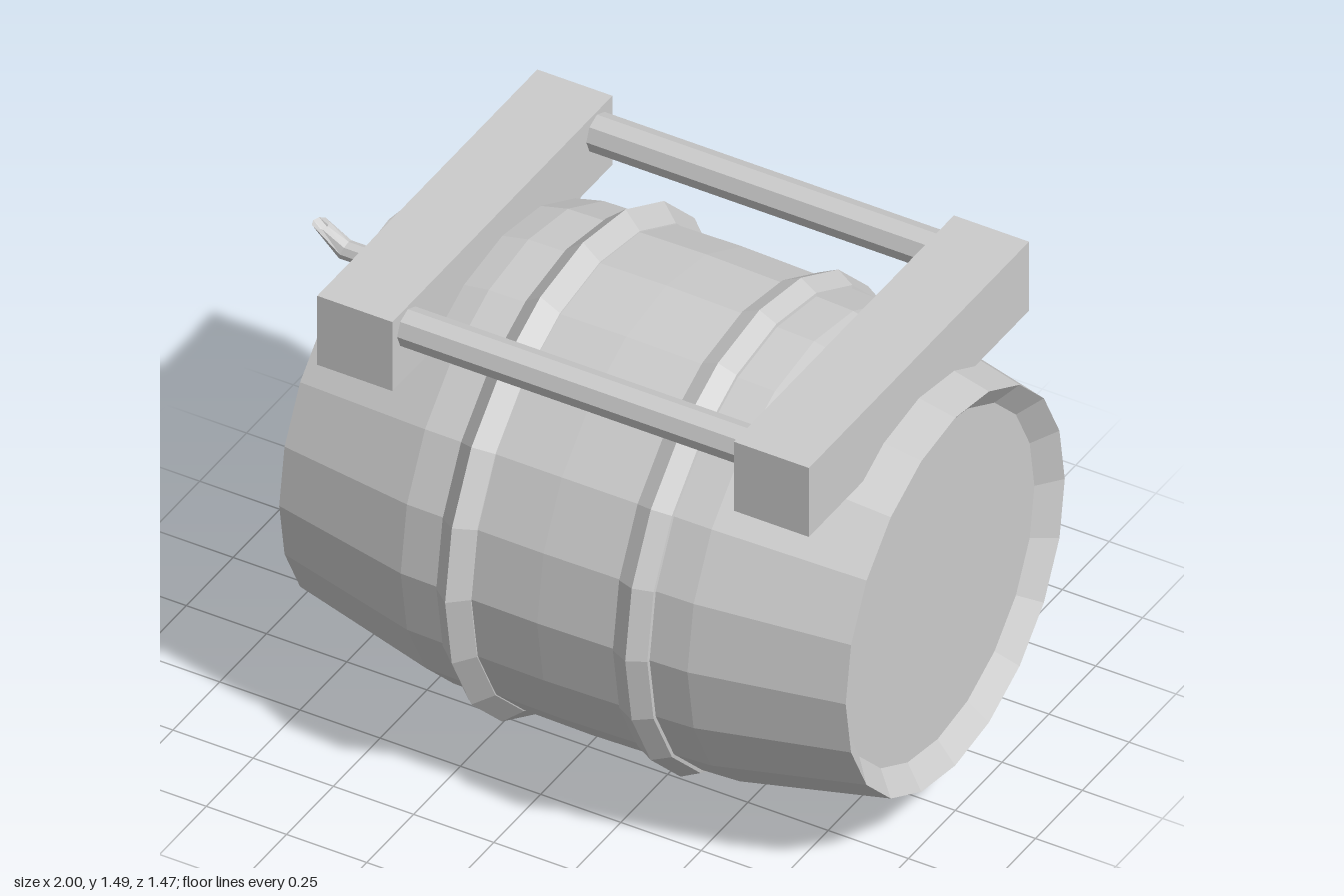
import * as THREE from 'three';

const material = new THREE.MeshStandardMaterial({ color: 0xcccccc, flatShading: true });
const openMaterial = new THREE.MeshStandardMaterial({ color: 0xcccccc, flatShading: true, side: THREE.DoubleSide });
const AXIS_Y = 0.738;

function add(group, name, geometry, x, y, z, mat = material) {
  const mesh = new THREE.Mesh(geometry, mat);
  mesh.name = name;
  mesh.position.set(x, y, z);
  group.add(mesh);
  return mesh;
}

// Revolves [x, radius] pairs around the horizontal x axis
function latheX(profile, sides = 20) {
  const points = profile.map(([x, r]) => new THREE.Vector2(r, x));
  return new THREE.LatheGeometry(points, sides).rotateZ(-Math.PI / 2);
}

// Bent open pipe: each row of a cylinder is laid between a lower and an upper point
function spoutGeometry() {
  const rows = [
    { low: [-0.7, 1.142], high: [-0.7, 1.2] },
    { low: [-0.912, 1.142], high: [-0.89, 1.2] },
    { low: [-1.0, 1.232], high: [-0.955, 1.228] },
  ];
  const geometry = new THREE.CylinderGeometry(1, 1, 2, 8, 2, true);
  const p = geometry.attributes.position;
  for (let i = 0; i < p.count; i++) {
    const { low, high } = rows[Math.round(p.getY(i)) + 1];
    const t = (p.getX(i) + 1) / 2;
    p.setXYZ(i,
      THREE.MathUtils.lerp(low[0], high[0], t),
      THREE.MathUtils.lerp(low[1], high[1], t),
      p.getZ(i) * 0.028);
  }
  geometry.computeVertexNormals();
  return geometry;
}

export function createModel() {
  const model = new THREE.Group();
  model.name = 'barrel';

  // Bulging body with recessed, bevelled ends
  add(model, 'barrelBody', latheX([
    [-0.71, 0], [-0.71, 0.517], [-0.765, 0.585],
    [-0.33, 0.682], [-0.105, 0.687], [0.1, 0.69], [0.34, 0.685], [0.56, 0.676],
    [1, 0.585], [0.945, 0.517], [0.945, 0],
  ]), 0, AXIS_Y, 0);

  // Ridged hoops
  for (const [x, r] of [[-0.16, 0.736], [0.39, 0.717]]) {
    add(model, 'hoop', latheX([[-0.055, 0.68], [-0.053, 0.692], [0, r], [0.053, 0.69], [0.055, 0.68]]), x, AXIS_Y, 0);
  }

  // Cross beams resting on the barrel
  for (const x of [-0.528, 0.77]) {
    add(model, 'crossBeam', new THREE.BoxGeometry(0.234, 0.232, 1.175), x, 1.376, 0);
  }

  // Carrying rods between the beams
  for (const z of [-0.505, 0.505]) {
    const rod = new THREE.CylinderGeometry(0.057, 0.057, 1.2, 8).rotateZ(Math.PI / 2);
    add(model, 'rod', rod, 0.121, 1.425, z);
  }

  // Tap with a small valve below
  add(model, 'spout', spoutGeometry(), 0, 0, 0, openMaterial);
  add(model, 'valveStem', new THREE.CylinderGeometry(0.011, 0.011, 0.05, 8), -0.792, 1.132, 0);
  add(model, 'valveKnob', new THREE.CylinderGeometry(0.027, 0.027, 0.018, 8), -0.792, 1.104, 0);

  return model;
}
